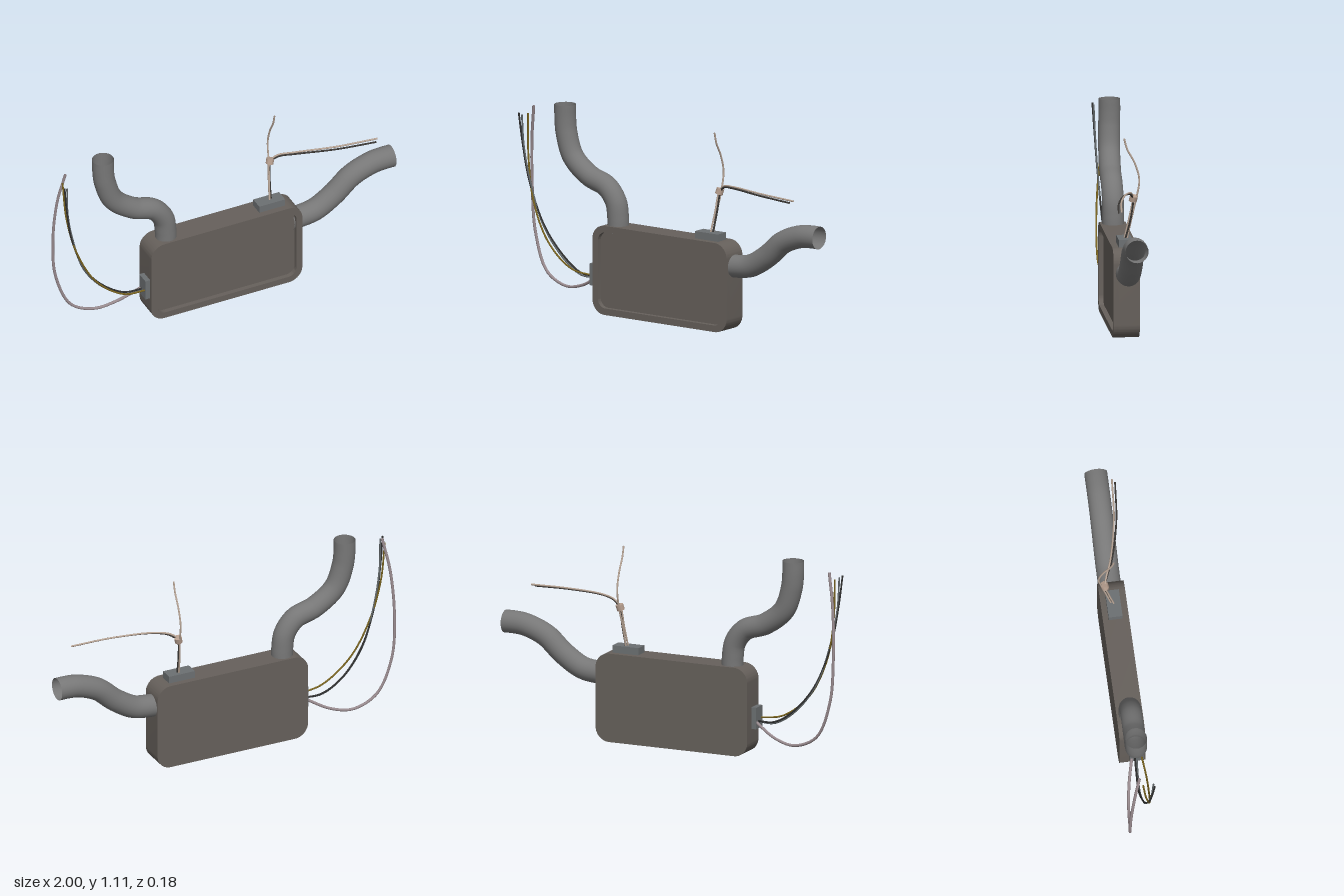
import * as THREE from 'three';
import { toCreasedNormals } from 'three/addons/utils/BufferGeometryUtils.js';

const paint = (color, side = THREE.FrontSide) => new THREE.MeshStandardMaterial({ color, side });
const V = (p) => new THREE.Vector3(...p);

function roundedRect(target, x0, y0, x1, y1, r) {
  target.moveTo(x0 + r, y0);
  target.lineTo(x1 - r, y0);
  target.absarc(x1 - r, y0 + r, r, -Math.PI / 2, 0);
  target.lineTo(x1, y1 - r);
  target.absarc(x1 - r, y1 - r, r, 0, Math.PI / 2);
  target.lineTo(x0 + r, y1);
  target.absarc(x0 + r, y1 - r, r, Math.PI / 2, Math.PI);
  target.lineTo(x0, y0 + r);
  target.absarc(x0 + r, y0 + r, r, Math.PI, Math.PI * 1.5);
  return target;
}

export function createModel() {
  const model = new THREE.Group();
  const add = (name, geometry, material) => {
    const mesh = new THREE.Mesh(geometry, material);
    mesh.name = name;
    model.add(mesh);
    return mesh;
  };

  const bodyMat = paint(0x66605b);
  const pipeMat = paint(0x777777, THREE.DoubleSide);
  const plugMat = paint(0x6c7072);
  const outline = () => roundedRect(new THREE.Shape(), -0.475, 0, 0.43, 0.49, 0.08);
  const slab = (shape, z0, z1) => {
    const g = new THREE.ExtrudeGeometry(shape, { depth: z1 - z0, bevelEnabled: false, curveSegments: 10 });
    g.translate(0, 0, z0);
    return toCreasedNormals(g, 0.6);
  };

  // Housing with a raised rim around the sunken front panel
  const floorZ = 0.045;
  add('housing', slab(outline(), -0.071, floorZ), bodyMat);
  const rim = outline();
  rim.holes.push(roundedRect(new THREE.Path(), -0.438, 0.036, 0.395, 0.454, 0.05));
  add('frontRim', slab(rim, floorZ, 0.071), bodyMat);

  // Open hoses
  const tube = (name, points, radius, material, sides, steps) =>
    add(name, new THREE.TubeGeometry(new THREE.CatmullRomCurve3(points.map(V)), steps, radius, sides), material);
  tube('upperHose', [
    [-0.353, 0.45, 0], [-0.355, 0.53, 0], [-0.37, 0.615, 0], [-0.43, 0.69, 0], [-0.55, 0.735, -0.003],
    [-0.665, 0.826, -0.008], [-0.712, 0.95, -0.012], [-0.722, 1.03, -0.014], [-0.723, 1.105, -0.014],
  ], 0.059, pipeMat, 24, 60);
  tube('sideHose', [
    [0.39, 0.362, -0.002], [0.45, 0.363, -0.002], [0.54, 0.378, -0.002], [0.65, 0.443, -0.002], [0.76, 0.535, -0.002],
    [0.88, 0.581, -0.002], [0.95, 0.588, -0.002], [1, 0.588, -0.002],
  ], 0.062, pipeMat, 24, 60);

  // Plug sockets
  add('topSocket', new THREE.BoxGeometry(0.155, 0.05, 0.075), plugMat).position.set(0.267, 0.505, -0.002);
  add('sideSocket', new THREE.BoxGeometry(0.035, 0.12, 0.075), plugMat).position.set(-0.486, 0.208, 0.02);

  // Cables leaving the side socket
  const wire = (name, color, radius, points) => tube(name, points, radius, paint(color, THREE.DoubleSide), 8, 64);
  wire('thickSideCable', 0x9a8c90, 0.008, [
    [-0.49, 0.19, -0.005], [-0.63, 0.115, -0.04], [-0.754, 0.094, -0.058], [-0.888, 0.158, -0.068],
    [-0.973, 0.36, -0.08], [-0.992, 0.6, -0.077], [-0.978, 0.87, -0.055], [-0.943, 1.065, -0.025],
  ]);
  wire('yellowSideWire', 0x7a6420, 0.005, [
    [-0.49, 0.2, 0.045], [-0.63, 0.223, 0.055], [-0.79, 0.35, 0.05], [-0.9, 0.56, 0.035],
    [-0.952, 0.79, 0.01], [-0.968, 1.025, -0.008],
  ]);
  wire('blackSideWire', 0x303030, 0.005, [
    [-0.49, 0.19, 0.01], [-0.6, 0.195, 0.005], [-0.72, 0.27, 0], [-0.84, 0.42, 0.012],
    [-0.93, 0.66, 0.03], [-0.967, 0.87, 0.043], [-0.985, 1.035, 0.053],
  ]);
  wire('greySideWire', 0x62686a, 0.005, [
    [-0.49, 0.185, 0.02], [-0.6, 0.187, 0.012], [-0.73, 0.27, 0.006], [-0.85, 0.43, 0.014],
    [-0.925, 0.66, 0.03], [-0.96, 0.85, 0.04], [-0.968, 1.025, 0.048],
  ]);

  // Wires leaving the top socket, gathered by a tie
  wire('uprightWire', 0xb8a596, 0.005, [
    [0.275, 0.52, -0.015], [0.282, 0.64, -0.04], [0.293, 0.745, -0.063], [0.296, 0.85, -0.08],
    [0.297, 0.94, -0.056], [0.297, 1.02, -0.014], [0.297, 1.077, 0.002],
  ]);
  wire('outerBentWire', 0xb8a596, 0.005, [
    [0.268, 0.52, 0], [0.28, 0.64, -0.027], [0.292, 0.745, -0.045], [0.33, 0.782, -0.035],
    [0.42, 0.796, 0], [0.65, 0.794, 0.05], [0.88, 0.787, 0.07],
  ]);
  wire('innerBentWire', 0x3a3734, 0.005, [
    [0.28, 0.52, -0.005], [0.287, 0.64, -0.035], [0.298, 0.74, -0.046], [0.335, 0.776, -0.03],
    [0.42, 0.79, 0.008], [0.64, 0.787, 0.062], [0.865, 0.778, 0.085],
  ]);
  const tie = add('wireTie', new THREE.CylinderGeometry(0.022, 0.022, 0.032, 8), paint(0xb8a090));
  tie.position.set(0.294, 0.748, -0.048);
  tie.quaternion.setFromUnitVectors(V([0, 1, 0]), V([0.25, 1, -0.2]).normalize());

  return model;
}
